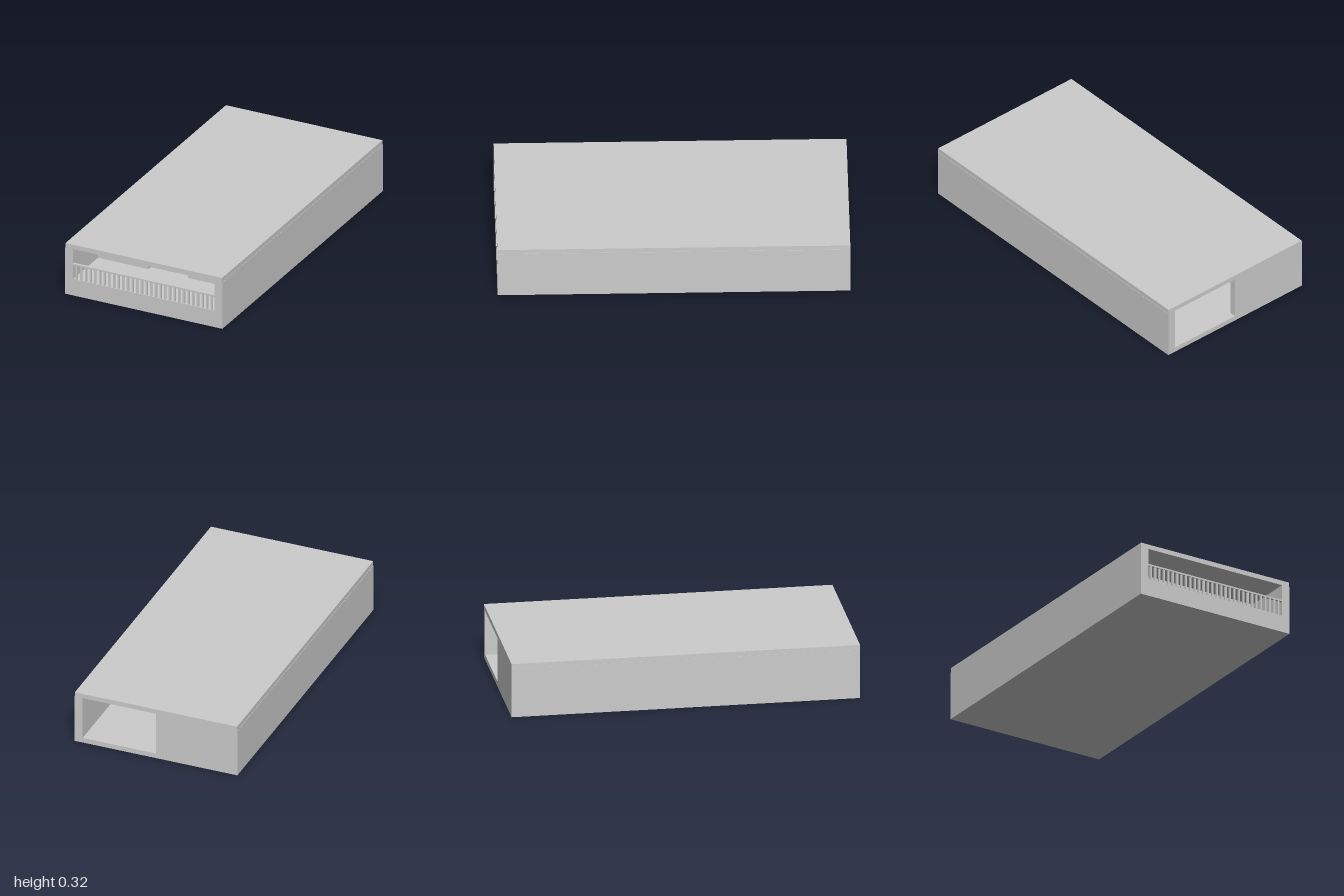
import * as THREE from 'three';

const grey = new THREE.MeshStandardMaterial({ color: 0xcccccc, flatShading: true });

export function createModel() {
  const model = new THREE.Group();

  // Box given by its lower and upper corner
  function box(name, [x0, y0, z0], [x1, y1, z1], parent = model) {
    const mesh = new THREE.Mesh(new THREE.BoxGeometry(x1 - x0, y1 - y0, z1 - z0), grey);
    mesh.position.set((x0 + x1) / 2, (y0 + y1) / 2, (z0 + z1) / 2);
    mesh.name = name;
    parent.add(mesh);
    return mesh;
  }

  // Outer shell: floor, side walls and flat roof
  box('floorSlab', [-0.5, 0, -1], [0.5, 0.03, 1]);
  box('rightWall', [-0.5, 0.03, -1], [-0.45, 0.292, 1]);
  box('leftWall', [0.45, 0.03, -1], [0.5, 0.292, 1]);
  box('roof', [-0.498, 0.292, -1], [0.498, 0.32, 1]);

  // Raised terrace floor behind the front opening
  box('terraceFloor', [-0.45, 0.03, 0.69], [0.45, 0.103, 1]);

  // Partition at the back of the terrace with a doorway
  const wall = new THREE.Shape([
    [-0.45, 0.03], [0.45, 0.03], [0.45, 0.292], [-0.45, 0.292],
  ].map(([x, y]) => new THREE.Vector2(x, y)));
  wall.holes.push(new THREE.Path([
    [-0.127, 0.103], [-0.127, 0.235], [0.124, 0.235], [0.124, 0.103],
  ].map(([x, y]) => new THREE.Vector2(x, y))));
  const partition = new THREE.Mesh(
    new THREE.ExtrudeGeometry(wall, { depth: 0.05, bevelEnabled: false }), grey);
  partition.position.z = 0.64;
  partition.name = 'partitionWall';
  model.add(partition);

  // Double door set back in the doorway
  box('terraceDoorRight', [-0.127, 0.103, 0.645], [-0.005, 0.235, 0.662]);
  box('terraceDoorLeft', [-0.005, 0.103, 0.645], [0.124, 0.235, 0.66]);

  // Front railing
  const railing = new THREE.Group();
  railing.name = 'railing';
  model.add(railing);
  box('handrail', [-0.45, 0.19, 0.985], [0.45, 0.2, 1], railing);
  const bars = 30;
  for (let i = 0; i < bars; i++) {
    const x = -0.43 + (0.86 * i) / (bars - 1);
    box('railingBar', [x - 0.0055, 0.103, 0.987], [x + 0.0055, 0.19, 0.998], railing);
  }

  // Rear sliding door, covering half of the back opening
  box('rearDoor', [-0.45, 0.03, -1], [0, 0.292, -0.96]);

  return model;
}
